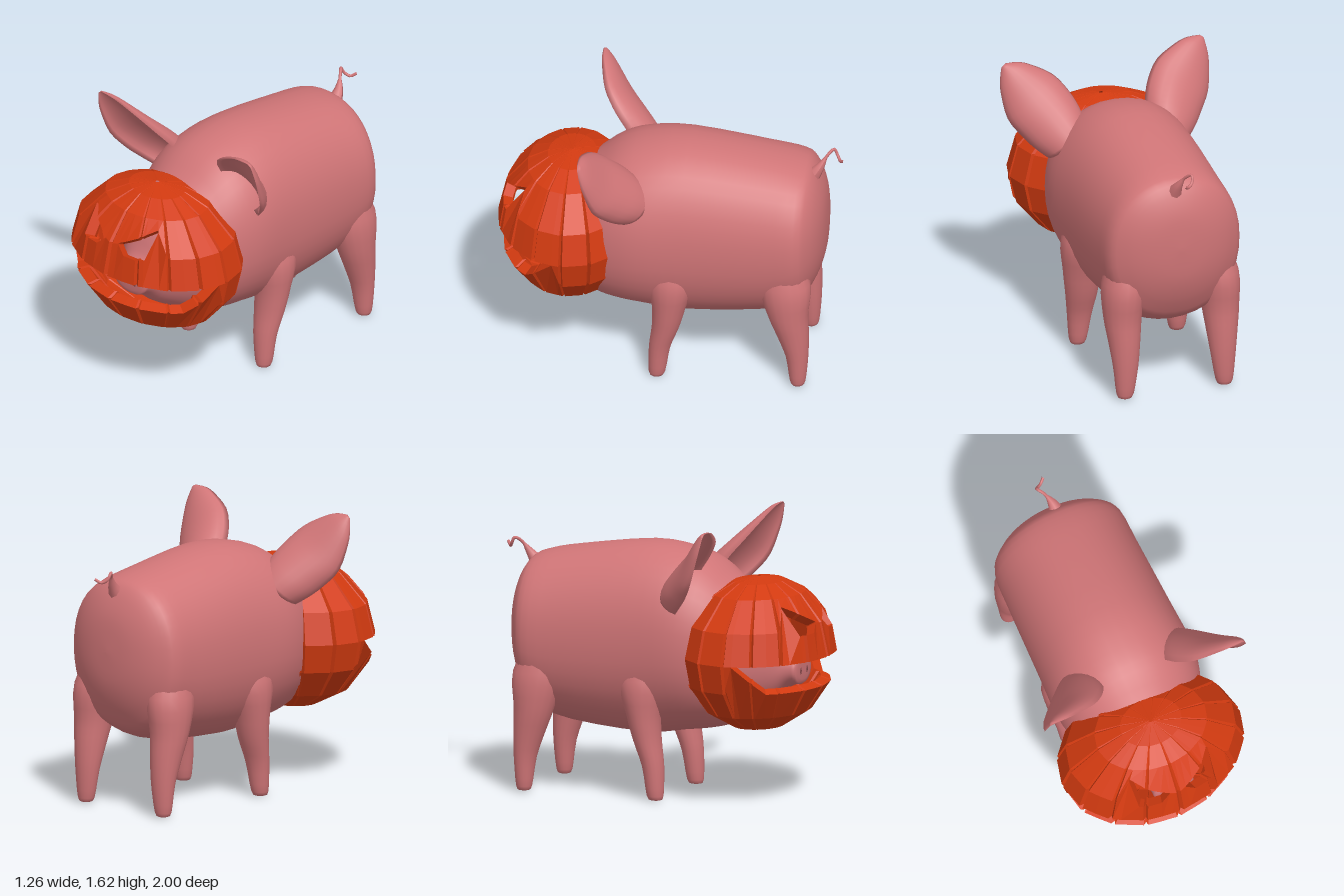
import * as THREE from 'three';

const pink = new THREE.MeshStandardMaterial({ color: 0xd07577 });
const darkPink = new THREE.MeshStandardMaterial({ color: 0x8a4a4c });
const orange = new THREE.MeshStandardMaterial({ color: 0xd23a10, flatShading: true, side: THREE.DoubleSide });

// Piecewise linear lookup in [[x, y], ...]
function lerpTable(t, x) {
  for (let i = 1; i < t.length; i++) {
    if (x <= t[i][0]) {
      return THREE.MathUtils.lerp(t[i - 1][1], t[i][1], (x - t[i - 1][0]) / (t[i][0] - t[i - 1][0]));
    }
  }
  return t[t.length - 1][1];
}

// Closed skin through rows of section numbers; place(section, angle) gives a point
function loft(rows, n, steps, place) {
  const secs = [];
  for (let i = 0; i < rows.length - 1; i++) {
    const b = rows[i], c = rows[i + 1], a = rows[i - 1] || b, d = rows[i + 2] || c;
    for (let s = 0; s < steps; s++) {
      const t = s / steps;
      secs.push(b.map((v, k) => v + 0.5 * t * (c[k] - a[k] + t * (2 * a[k] - 5 * v + 4 * c[k] - d[k]
        + t * (3 * (v - c[k]) + d[k] - a[k])))));
    }
  }
  secs.push(rows[rows.length - 1]);
  const pos = [], idx = [];
  for (const s of secs) for (let j = 0; j < n; j++) pos.push(...place(s, (j / n) * Math.PI * 2));
  for (let i = 0; i < secs.length - 1; i++) {
    for (let j = 0; j < n; j++) {
      const a = i * n + j, b = i * n + (j + 1) % n;
      idx.push(a, b, a + n, b, b + n, a + n);
    }
  }
  const last = (secs.length - 1) * n;
  for (let j = 1; j < n - 1; j++) idx.push(0, j + 1, j, last, last + j, last + j + 1);
  // Turn the faces outward
  const p = (i) => new THREE.Vector3().fromArray(pos, i * 3);
  let vol = 0;
  for (let i = 0; i < idx.length; i += 3) vol += p(idx[i]).dot(p(idx[i + 1]).cross(p(idx[i + 2])));
  if (vol < 0) idx.reverse();
  const g = new THREE.BufferGeometry();
  g.setAttribute('position', new THREE.Float32BufferAttribute(pos, 3));
  g.setIndex(idx);
  g.computeVertexNormals();
  return g;
}

const mesh = (name, geo, mat) => Object.assign(new THREE.Mesh(geo, mat), { name });

// Torso, head and snout: z, bottom, top, half width
function bodyGeometry() {
  const rows = [
    [-0.9, 0.93, 0.97, 0.02], [-0.89, 0.78, 1.12, 0.14], [-0.86, 0.66, 1.23, 0.25],
    [-0.81, 0.55, 1.32, 0.34], [-0.74, 0.46, 1.36, 0.4], [-0.55, 0.39, 1.4, 0.41],
    [-0.1, 0.35, 1.46, 0.425], [0.15, 0.38, 1.435, 0.435], [0.3, 0.4, 1.38, 0.41],
    [0.42, 0.43, 1.29, 0.36], [0.55, 0.5, 1.19, 0.29], [0.68, 0.58, 1.07, 0.2],
    [0.75, 0.65, 0.92, 0.14], [0.8, 0.68, 0.87, 0.125], [0.84, 0.69, 0.85, 0.115], [0.845, 0.76, 0.78, 0.01],
  ];
  const round = (v) => Math.sign(v) * Math.abs(v) ** 0.92;
  return loft(rows, 40, 3, ([z, lo, hi, w], a) =>
    [w * round(Math.cos(a)), (lo + hi) / 2 + ((hi - lo) / 2) * round(Math.sin(a)), z]);
}

// Legs: y, centre x, centre z, radius x, radius z
function legGeometry(rows, side) {
  return loft(rows, 18, 3, ([y, cx, cz, rx, rz], a) =>
    [side * (cx + rx * Math.cos(a)), y, cz + rz * Math.sin(a)]);
}
const frontLeg = [
  [0.005, 0.3, 0.055, 0.025, 0.025], [0.03, 0.3, 0.05, 0.05, 0.048], [0.2, 0.295, 0.035, 0.073, 0.062],
  [0.35, 0.295, 0, 0.095, 0.08], [0.5, 0.3, -0.02, 0.11, 0.1], [0.7, 0.29, -0.03, 0.13, 0.14], [0.95, 0.24, -0.02, 0.08, 0.08],
];
const backLeg = [
  [0.01, 0.3, -0.76, 0.025, 0.025], [0.035, 0.3, -0.76, 0.05, 0.045], [0.2, 0.295, -0.755, 0.073, 0.065],
  [0.35, 0.295, -0.73, 0.092, 0.093], [0.5, 0.295, -0.7, 0.11, 0.12], [0.7, 0.28, -0.68, 0.125, 0.15], [0.95, 0.24, -0.64, 0.08, 0.08],
];

// Cupped ear: centre x, y, z, half width, depth of the cup
function earGeometry(side) {
  const rows = [
    [0.3, 1.2, 0.24, 0.15, 0.15], [0.34, 1.26, 0.29, 0.175, 0.15], [0.39, 1.33, 0.35, 0.188, 0.14],
    [0.46, 1.42, 0.41, 0.182, 0.11], [0.535, 1.525, 0.45, 0.118, 0.07], [0.57, 1.575, 0.465, 0.07, 0.045],
    [0.6, 1.61, 0.472, 0.015, 0.015],
  ];
  const across = [0.79, -0.6, -0.12], back = [0.1, 0.25, -0.96];
  return loft(rows, 24, 3, ([x, y, z, w, d], a) => {
    const s = Math.sin(a);
    const u = w * Math.cos(a) * (s < 0 ? 0.92 : 1), v = s > 0 ? d * s : -0.62 * d * s;
    const p = [x, y, z].map((c, k) => c + across[k] * u + back[k] * v);
    return [side * p[0], p[1], p[2]];
  });
}

// Curly tail: a tube narrowed toward its tip
function tailGeometry() {
  const path = new THREE.CatmullRomCurve3([
    [0.02, 1.26, -0.8], [0.01, 1.33, -0.85], [-0.02, 1.4, -0.895], [-0.045, 1.42, -0.925],
    [-0.04, 1.385, -0.945], [-0.01, 1.365, -0.965], [0.02, 1.385, -0.99],
  ].map((p) => new THREE.Vector3(...p)));
  const N = 30, R = 8, g = new THREE.TubeGeometry(path, N, 0.05, R, false);
  const pos = g.attributes.position, v = new THREE.Vector3();
  for (let i = 0; i < pos.count; i++) {
    const t = Math.floor(i / (R + 1)) / N, c = path.getPointAt(t);
    v.fromBufferAttribute(pos, i).sub(c).multiplyScalar(Math.max(0.18, 1 - 1.9 * t)).add(c);
    pos.setXYZ(i, v.x, v.y, v.z);
  }
  g.computeVertexNormals();
  return g;
}

// Hollow ribbed pumpkin with eye and mouth openings
function pumpkinGeometry() {
  const cols = []; // [angle in degrees, radius factor]
  for (let k = -8; k < 8; k++) cols.push([k * 22.5 - 1.5, 1.01], [k * 22.5, 0.965], [k * 22.5 + 1.5, 1.01]);
  for (const a of [6, 12, 27, 38, 56, 83]) cols.push([a, 1], [-a, 1]);
  cols.sort((a, b) => a[0] - b[0]);

  const mouthLow = [[0, 0.685], [56, 0.69], [83, 0.855], [90, 0.69], [200, 0.69]];
  const eyeLow = [[0, 1.05], [6, 1.06], [12, 1.01], [27, 1.005], [38, 1.16], [45, 1.04], [200, 1.04]];
  const eyeHigh = [[0, 1.05], [6, 1.065], [27, 1.14], [38, 1.17], [45, 1.04], [200, 1.04]];
  const levels = cols.map(([a]) => {
    const t = Math.abs(a);
    return [0.41, 0.435, 0.53, lerpTable(mouthLow, t), 0.857, lerpTable(eyeLow, t), lerpTable(eyeHigh, t), 1.21, 1.275, 1.3];
  });
  const MOUTH = 3, EYE = 5, n = cols.length, rows = levels[0].length - 1;
  const filled = (c, r) => {
    if (r < 0 || r >= rows) return true;
    const a = cols[(c + n) % n][0], b = cols[(c + n + 1) % n][0], mid = Math.abs(a + b) / 2;
    if (b < a) return true;
    return !((r === MOUTH && mid < 83) || (r === EYE && mid > 6 && mid < 38));
  };
  const point = (c, r, s) => {
    const [deg, m] = cols[(c + n) % n], a = THREE.MathUtils.degToRad(deg);
    const h = levels[(c + n) % n][r] - 0.855, k = m * s * Math.sqrt(Math.max(0, 1 - (h / 0.4451) ** 2));
    return [-0.03 + 0.55 * k * Math.sin(a), 0.855 + h * s, 0.58 + 0.42 * k * Math.cos(a)];
  };
  const pos = [];
  const quad = (a, b, c, d) => pos.push(...a, ...b, ...c, ...a, ...c, ...d);
  const IN = 0.86;
  for (let c = 0; c < n; c++) {
    for (let r = 0; r < rows; r++) {
      if (!filled(c, r)) continue;
      const corners = [[c, r], [c + 1, r], [c + 1, r + 1], [c, r + 1]];
      const o = corners.map(([i, j]) => point(i, j, 1)), q = corners.map(([i, j]) => point(i, j, IN));
      quad(...o);
      quad(q[3], q[2], q[1], q[0]);
      // Cut faces around the openings
      [[c, r - 1], [c + 1, r], [c, r + 1], [c - 1, r]].forEach(([i, j], e) => {
        const f = (e + 1) % 4;
        if (!filled(i, j)) quad(o[f], o[e], q[e], q[f]);
      });
    }
  }
  const g = new THREE.BufferGeometry();
  g.setAttribute('position', new THREE.Float32BufferAttribute(pos, 3));
  g.computeVertexNormals();
  return g;
}

export function createModel() {
  const model = new THREE.Group();
  model.name = 'pigWithPumpkin';
  model.add(mesh('body', bodyGeometry(), pink), mesh('tail', tailGeometry(), pink));
  for (const [label, side] of [['left', 1], ['right', -1]]) {
    model.add(
      mesh(label + 'FrontLeg', legGeometry(frontLeg, side), pink),
      mesh(label + 'BackLeg', legGeometry(backLeg, side), pink),
      mesh(label + 'Ear', earGeometry(side), pink));
    const nostril = mesh(label + 'Nostril', new THREE.SphereGeometry(0.02, 12, 8), darkPink);
    nostril.scale.set(0.8, 1.3, 0.4);
    nostril.position.set(side * 0.045, 0.765, 0.84);
    model.add(nostril);
  }
  model.add(mesh('pumpkinMask', pumpkinGeometry(), orange));
  return model;
}
